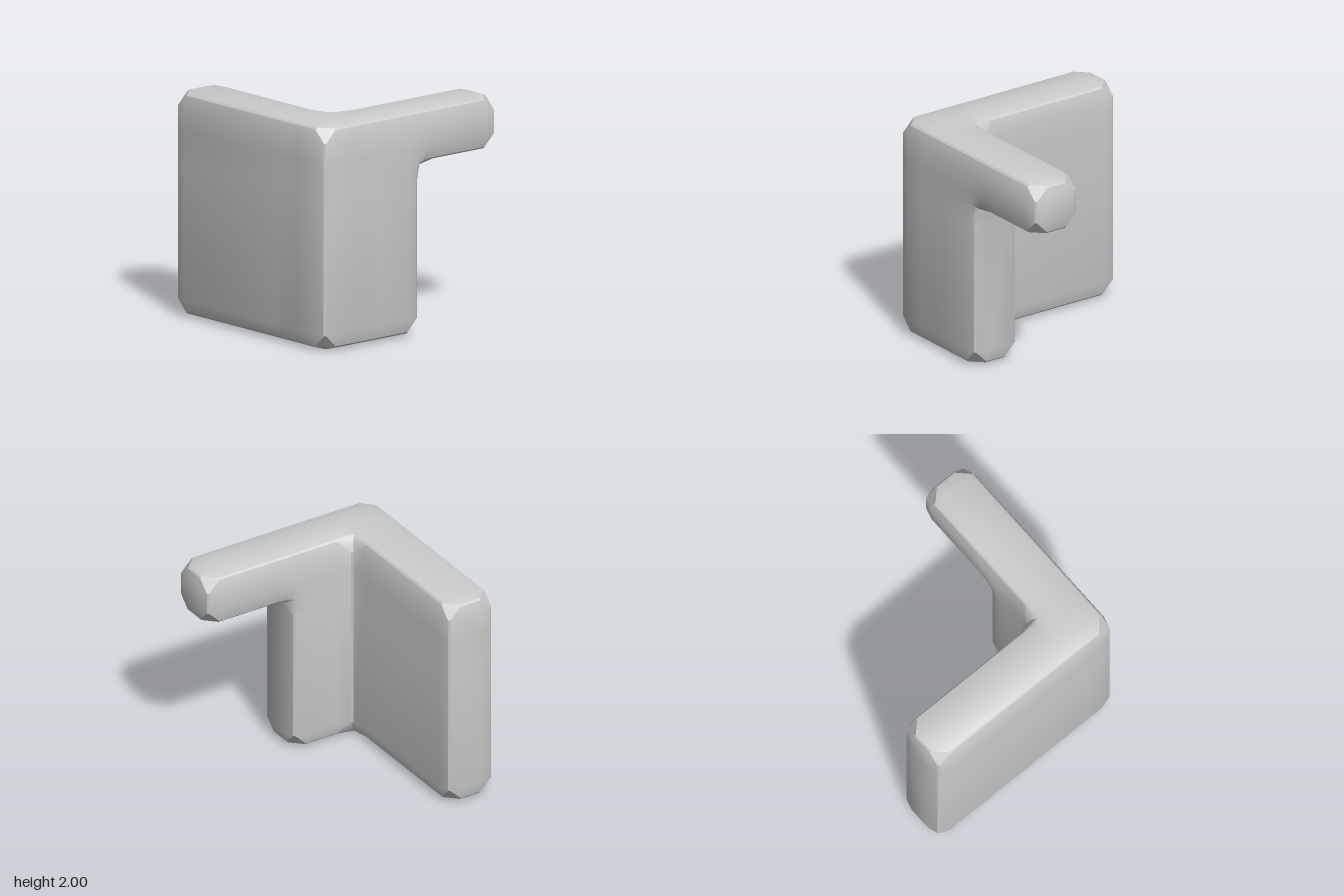
import * as THREE from 'three';
import { toCreasedNormals } from 'three/addons/utils/BufferGeometryUtils.js';

// Solid blocks [min, max]: front panel, side panel, rear arm
const BLOCKS = [
  [[-1, 0, 0.5], [1, 2, 1]],
  [[0.5, 0, -0.12], [1, 2, 0.5]],
  [[0.5, 1.5, -1], [1, 2, -0.12]],
];
const REACH = 0.15, LIP = 0.045; // width of the softened border and of the narrow edge strip

// Grid lines: every block boundary plus its softened border
const LINES = [[-1, 0.5, 1], [0, 1.5, 2], [-1, -0.12, 0.5, 1]].map((b) =>
  b.flatMap((v) => [-REACH, -LIP, 0, LIP, REACH].map((d) => v + d)).sort((p, q) => p - q));

// Share of a cube of half size r around p that is solid
function fill(p, r) {
  let sum = 0;
  for (const [lo, hi] of BLOCKS) {
    let v = 1;
    for (let a = 0; a < 3; a++) v *= Math.max(0, Math.min(hi[a], p[a] + r) - Math.max(lo[a], p[a] - r)) / (2 * r);
    sum += v;
  }
  return sum;
}
const solid = (p) => fill(p, 0.001) > 0.5;

// Outward direction per axis and number of solid octants at a grid point
function octants(p) {
  const n = [0, 0, 0];
  let count = 0;
  for (let i = 0; i < 8; i++) {
    const s = [i & 1 ? 1 : -1, i & 2 ? 1 : -1, i & 4 ? 1 : -1];
    if (!solid(p.map((v, a) => v + s[a] * 0.01))) continue;
    count++;
    s.forEach((v, a) => { n[a] -= v; });
  }
  return { n: n.map(Math.sign), count };
}

// Outer corners, each cut by a slanted plane
const CORNERS = [];
for (const x of LINES[0]) for (const y of LINES[1]) for (const z of LINES[2]) {
  const { n, count } = octants([x, y, z]);
  if (count === 1) CORNERS.push({ p: [x, y, z], s: n });
}

// Pull a surface point inward on outer edges and outward on inner edges
function soften(p) {
  const lack = 0.5 - fill(p, REACH);
  const d = Math.abs(lack);
  const g = Math.sign(lack) * Math.min(0.1714 * d, 0.03 + 0.1 * (d - 0.175));
  const { n } = octants(p);
  const q = p.map((v, a) => v - n[a] * g);
  for (const c of CORNERS) {
    if (p.some((v, a) => Math.abs(v - c.p[a]) > REACH + 0.001)) continue;
    const depth = q.reduce((t, v, a) => t + (c.p[a] - v) * c.s[a], 0);
    const excess = Math.max(0, 0.225 - depth) / 3;
    c.s.forEach((s, a) => { q[a] -= s * excess; });
  }
  return new THREE.Vector3(...q);
}

// Skin of the solid: a quad wherever a filled grid cell meets an empty one
function bodyGeometry() {
  const pos = [];
  for (let a = 0; a < 3; a++) {
    const b = (a + 1) % 3, c = (a + 2) % 3;
    for (const w of LINES[a]) for (let i = 1; i < LINES[b].length; i++) for (let j = 1; j < LINES[c].length; j++) {
      const at = (u, v, h = w) => { const p = []; p[a] = h; p[b] = u; p[c] = v; return p; };
      const u0 = LINES[b][i - 1], u1 = LINES[b][i], v0 = LINES[c][j - 1], v1 = LINES[c][j];
      const um = (u0 + u1) / 2, vm = (v0 + v1) / 2;
      const below = solid(at(um, vm, w - 0.01)), above = solid(at(um, vm, w + 0.01));
      if (below === above) continue;
      const dir = below ? 1 : -1;
      const k = [at(u0, v0), at(u1, v0), at(u1, v1), at(u0, v1)].map(soften);
      if (!below) k.reverse();
      // Split along the diagonal that stands further out
      const axis = 'xyz'[a];
      const out = dir * (k[0][axis] + k[2][axis] - k[1][axis] - k[3][axis]);
      const order = out >= -1e-6 ? [0, 1, 2, 0, 2, 3] : [1, 2, 3, 1, 3, 0];
      order.forEach((m) => pos.push(...k[m].toArray()));
    }
  }
  const geo = new THREE.BufferGeometry();
  geo.setAttribute('position', new THREE.Float32BufferAttribute(pos, 3));
  return toCreasedNormals(geo, 0.45);
}

export function createModel() {
  const group = new THREE.Group();
  group.name = 'cornerBlock';
  const body = new THREE.Mesh(bodyGeometry(), new THREE.MeshStandardMaterial({ color: 0xcccccc }));
  body.name = 'angledPanelBody';
  group.add(body);
  return group;
}
